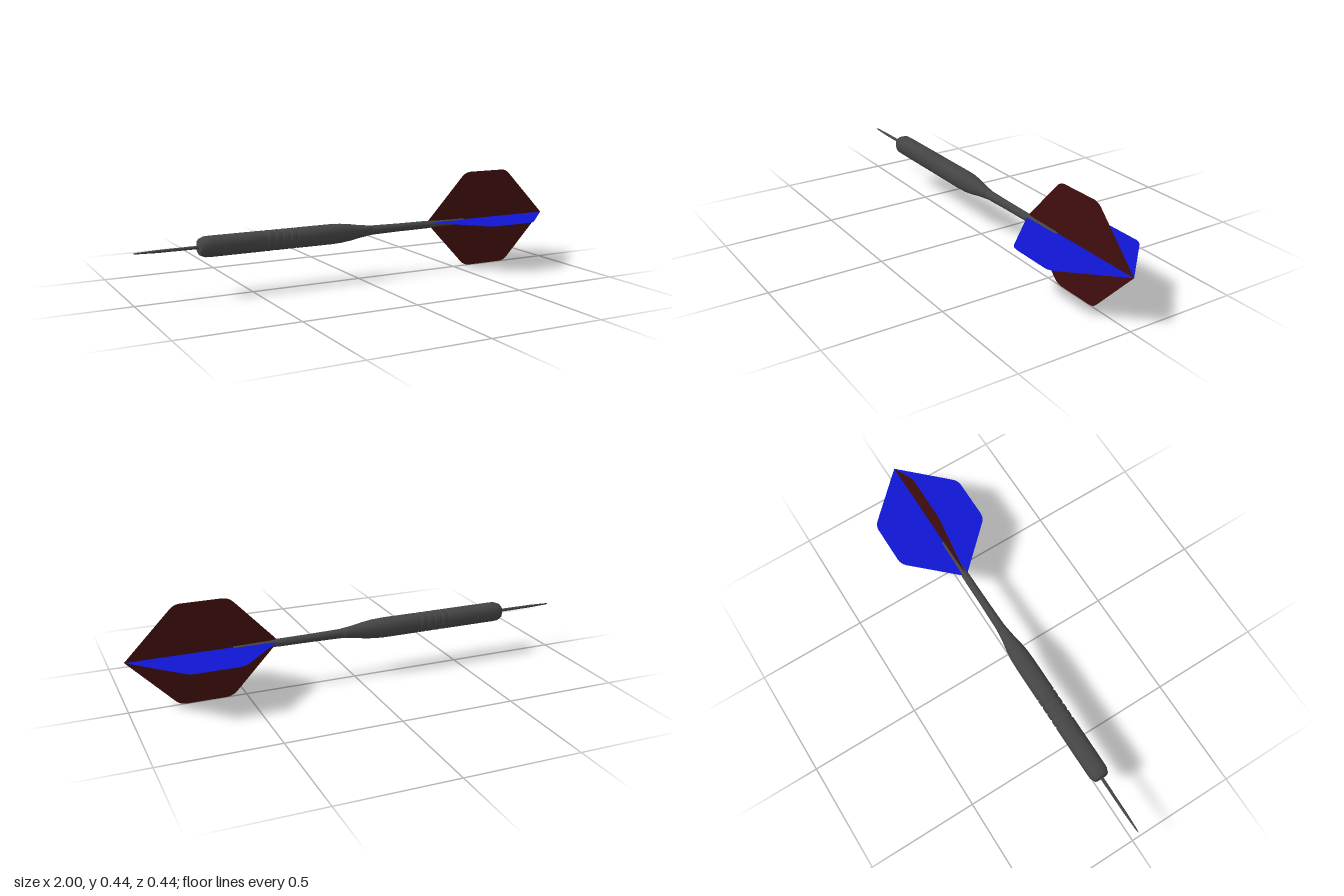
import * as THREE from 'three';

const AXIS_Y = 0.212;

// Surface of revolution along x from [x, radius] points; square > 0 flattens the round section slightly
function turned(name, points, color, square = 0) {
  const geo = new THREE.LatheGeometry(points.map(([x, r]) => new THREE.Vector2(r, x)), 32);
  const p = geo.attributes.position;
  for (let i = 0; i < p.count; i++) {
    const a = Math.atan2(p.getZ(i), p.getX(i));
    const s = 1 + square * (1 - Math.cos(4 * a)) / 2;
    p.setX(i, p.getX(i) * s);
    p.setZ(i, p.getZ(i) * s);
  }
  geo.rotateZ(-Math.PI / 2);
  geo.computeVertexNormals();
  const mesh = new THREE.Mesh(geo, new THREE.MeshStandardMaterial({ color, side: THREE.DoubleSide }));
  mesh.name = name;
  mesh.position.y = AXIS_Y;
  return mesh;
}

// Kite-like fin outline with softened outer corners
function finGeometry() {
  const s = new THREE.Shape();
  s.moveTo(0.35, 0);
  for (const side of [1, -1]) {
    const xs = side > 0 ? [0.54, 0.56, 0.59, 0.76, 0.785, 0.805] : [0.805, 0.785, 0.76, 0.59, 0.56, 0.54];
    s.lineTo(xs[0], 0.2 * side);
    s.quadraticCurveTo(xs[1], 0.22 * side, xs[2], 0.22 * side);
    s.lineTo(xs[3], 0.22 * side);
    s.quadraticCurveTo(xs[4], 0.22 * side, xs[5], 0.2 * side);
    if (side > 0) s.lineTo(1, 0);
  }
  s.closePath();
  return new THREE.ShapeGeometry(s, 6);
}

export function createModel() {
  const dart = new THREE.Group();
  dart.name = 'dart';
  const dark = 0x444444;

  // Needle point
  dart.add(turned('point', [[-1, 0], [-0.985, 0.003], [-0.9, 0.006], [-0.7, 0.007]], dark));

  // Barrel with grip grooves, tapering to the rear
  const profile = [[-0.73, 0], [-0.73, 0.028], [-0.725, 0.034], [-0.705, 0.042], [-0.68, 0.043]];
  for (const x of [-0.445, -0.41, -0.375, -0.34, -0.305]) {
    profile.push([x - 0.006, 0.043], [x - 0.003, 0.039], [x + 0.003, 0.039], [x + 0.006, 0.043]);
  }
  profile.push([-0.14, 0.043], [-0.09, 0.041], [-0.04, 0.035], [0, 0.028], [0.04, 0.023], [0.06, 0.021], [0.06, 0]);
  dart.add(turned('barrel', profile, dark, 0.06));

  // Shaft holding the flights
  dart.add(turned('shaft', [[0.04, 0.021], [0.2, 0.018], [0.35, 0.017], [0.4, 0.014], [0.55, 0.012], [0.55, 0]], dark));

  // Crossed flights: one upright, one level
  for (const [name, color, turn] of [['uprightFlight', 0x420e0e, 0], ['levelFlight', 0x1016d0, -Math.PI / 2]]) {
    const fin = new THREE.Mesh(finGeometry(), new THREE.MeshStandardMaterial({ color, side: THREE.DoubleSide }));
    fin.name = name;
    fin.rotation.x = turn;
    fin.position.y = 0.22;
    dart.add(fin);
  }
  return dart;
}
